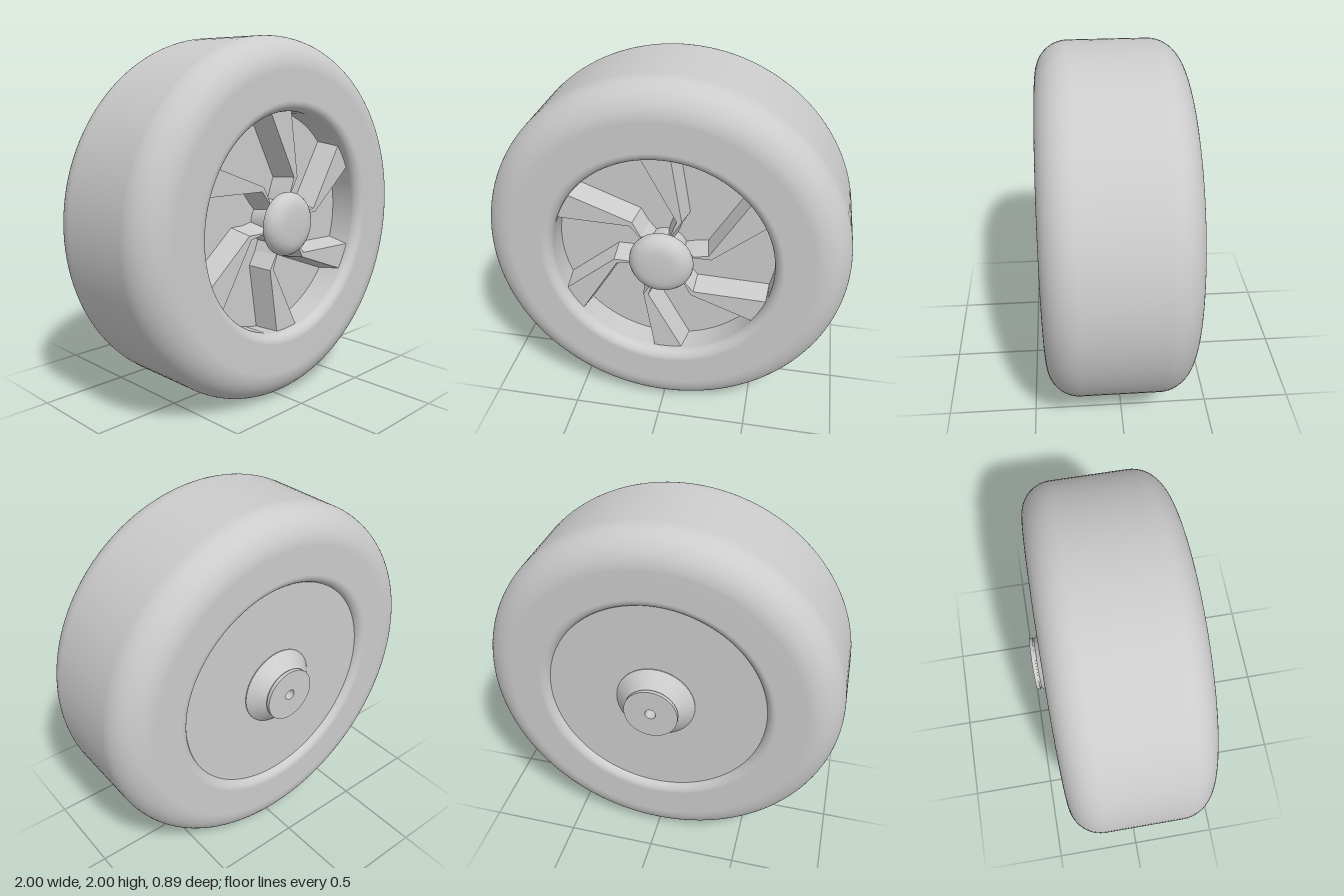
import * as THREE from 'three';
import { toCreasedNormals } from 'three/addons/utils/BufferGeometryUtils.js';

const material = new THREE.MeshStandardMaterial({ color: 0xcccccc });

// Revolves [radius, z] points around the z axis
function revolve(name, points, segments, crease) {
  const profile = points.map((p) => (p.isVector2 ? p : new THREE.Vector2(p[0], p[1])));
  let geometry = new THREE.LatheGeometry(profile, segments).rotateX(Math.PI / 2);
  if (crease) geometry = toCreasedNormals(geometry, crease);
  const mesh = new THREE.Mesh(geometry, material);
  mesh.name = name;
  return mesh;
}

// Tyre section: flat tread, large shoulders, small rounded lips
function tyreProfile() {
  const back = -0.375, front = 0.415, inner = 0.605, R = 0.18, r = 0.055;
  const path = new THREE.Path();
  path.moveTo(inner, -0.25);
  path.lineTo(inner, back + r);
  path.absarc(inner + r, back + r, r, Math.PI, Math.PI * 1.5);
  path.absarc(1 - R, back + R, R, -Math.PI / 2, 0);
  path.absarc(1 - R, front - R, R, 0, Math.PI / 2);
  path.absarc(inner + r, front - r, r, Math.PI / 2, Math.PI);
  path.lineTo(inner, 0.15);
  return path.getPoints(10);
}

// Bent spoke: each section is base left, top left, top right, base right
function spokeGeometry() {
  const floor = 0.2, top = 0.355;
  const sections = [
    [[0.0, 0.08], [0.02, 0.08], [0.03, 0.08], [0.06, 0.08]],
    [[0.027, 0.17], [0.05, 0.165], [0.058, 0.165], [0.09, 0.16]],
    [[0.053, 0.235], [0.08, 0.245], [0.107, 0.246], [0.134, 0.235]],
    [[-0.138, 0.593], [-0.111, 0.602], [0.048, 0.61], [0.075, 0.608]],
  ];
  const positions = [];
  const point = (i, j) => positions.push(...sections[i][j], j === 1 || j === 2 ? top : floor);
  for (let i = 0; i < sections.length - 1; i++) {
    for (let j = 0; j < 3; j++) {
      point(i, j); point(i, j + 1); point(i + 1, j + 1);
      point(i, j); point(i + 1, j + 1); point(i + 1, j);
    }
  }
  const geometry = new THREE.BufferGeometry();
  geometry.setAttribute('position', new THREE.Float32BufferAttribute(positions, 3));
  geometry.computeVertexNormals();
  return geometry;
}

export function createModel() {
  const wheel = new THREE.Group();
  wheel.name = 'wheel';
  wheel.position.y = 1;

  wheel.add(revolve('tyre', tyreProfile(), 128));

  // Solid disc closing the rim, recessed on both sides
  wheel.add(revolve('rimDisc', [[0, -0.34], [0.608, -0.34], [0.608, 0.22], [0, 0.22]], 96, 0.6));

  // Rounded cap on a narrower stem
  wheel.add(revolve('hubCap', [
    [0.12, 0.2], [0.12, 0.345], [0.16, 0.35], [0.172, 0.36], [0.175, 0.375], [0.171, 0.395],
    [0.158, 0.415], [0.138, 0.431], [0.112, 0.441], [0.08, 0.445], [0, 0.445],
  ], 64, 0.6));

  // Conical rear boss with a flange and a bore
  wheel.add(revolve('axleBoss', [
    [0, -0.37], [0.03, -0.37], [0.03, -0.45], [0.149, -0.45], [0.149, -0.43],
    [0.143, -0.43], [0.143, -0.422], [0.22, -0.345], [0.22, -0.33],
  ], 64, 0.5));

  // Six swept spokes
  const spokes = new THREE.Group();
  spokes.name = 'spokes';
  const geometry = spokeGeometry();
  for (let i = 0; i < 6; i++) {
    const spoke = new THREE.Mesh(geometry, material);
    spoke.name = 'spoke';
    spoke.rotation.z = (i * Math.PI) / 3;
    spokes.add(spoke);
  }
  wheel.add(spokes);

  const model = new THREE.Group();
  model.name = 'wheelModel';
  model.add(wheel);
  return model;
}
